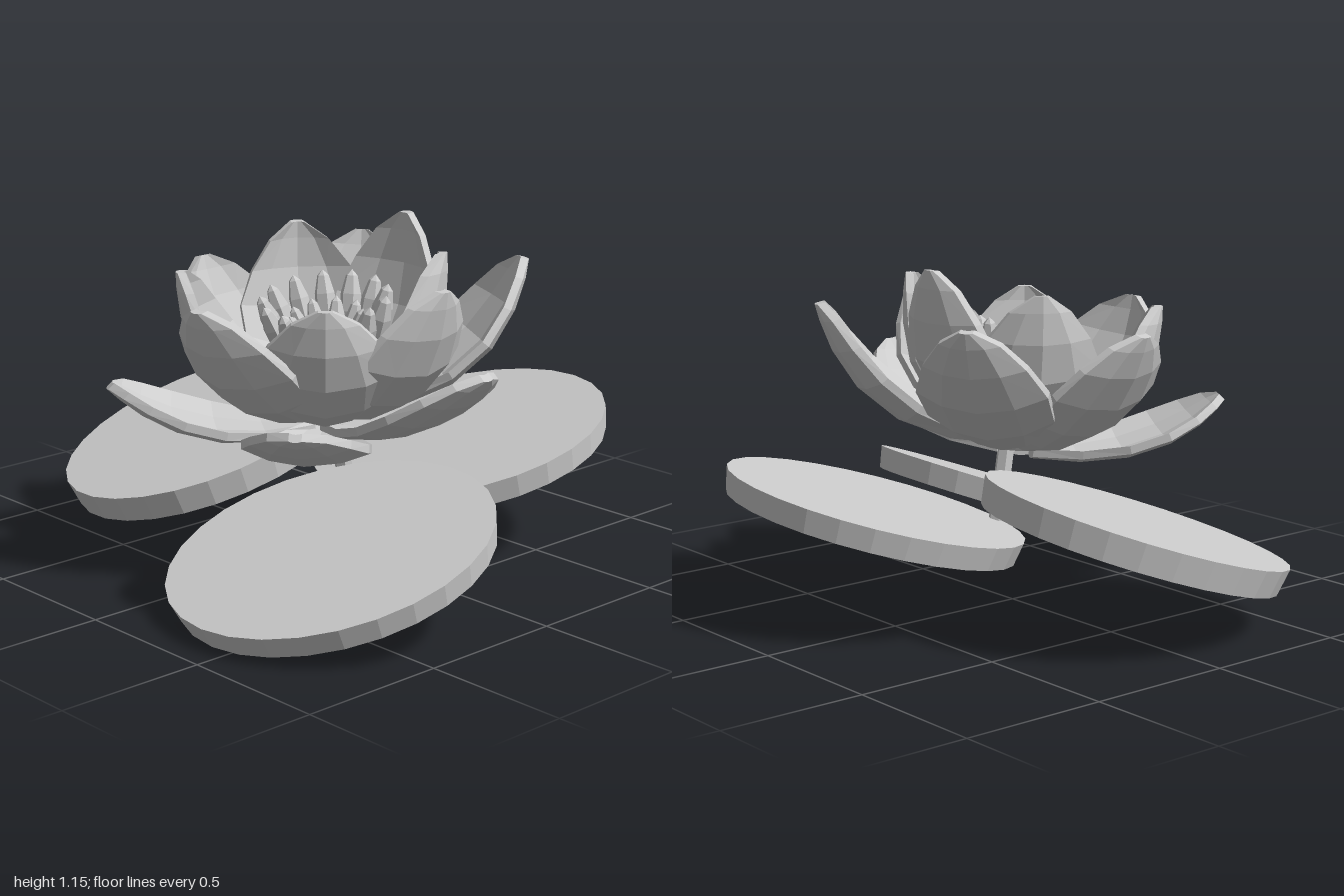
import * as THREE from 'three';

const UP = new THREE.Vector3(0, 1, 0);
const CENTRE = new THREE.Vector3(0.1, 0, 0.11);
const V2 = (x, y) => new THREE.Vector2(x, y);

// Closed, cupped shell running from the flower's heart to a tip point
function petalGeometry(tip, baseY, ctrlK, ctrlY, halfWidth, cup) {
  const radial = new THREE.Vector3(tip.x - CENTRE.x, 0, tip.z - CENTRE.z);
  const reach = radial.length();
  radial.normalize();
  const side = new THREE.Vector3(-radial.z, 0, radial.x);
  const at = (r, y) => CENTRE.clone().addScaledVector(radial, r).setY(y);
  const spine = new THREE.QuadraticBezierCurve3(at(0.04, baseY), at(reach * ctrlK, ctrlY), tip);
  const us = [0, 0.2, 0.42, 0.64, 0.82, 0.94, 1];
  const widths = [0.3, 0.68, 0.97, 1, 0.78, 0.46, 0.1];
  const vs = [-1, -0.55, 0, 0.55, 1];
  const rows = us.length, cols = vs.length, pos = [], index = [];
  for (const layer of [1, -1]) {
    us.forEach((u, i) => {
      const p = spine.getPoint(u), n = side.clone().cross(spine.getTangent(u));
      const w = widths[i] * halfWidth;
      for (const v of vs) {
        const q = p.clone().addScaledVector(side, w * v)
          .addScaledVector(n, cup * w * v * v + layer * 0.014);
        pos.push(q.x, q.y, q.z);
      }
    });
  }
  const id = (l, i, j) => l * rows * cols + i * cols + j;
  const quad = (a, b, c, d) => index.push(a, b, c, a, c, d);
  for (let i = 0; i < rows - 1; i++) {
    for (let j = 0; j < cols - 1; j++) {
      quad(id(0, i, j), id(0, i, j + 1), id(0, i + 1, j + 1), id(0, i + 1, j));
      quad(id(1, i, j), id(1, i + 1, j), id(1, i + 1, j + 1), id(1, i, j + 1));
    }
    // side rims
    quad(id(0, i, 0), id(0, i + 1, 0), id(1, i + 1, 0), id(1, i, 0));
    const e = cols - 1;
    quad(id(0, i, e), id(1, i, e), id(1, i + 1, e), id(0, i + 1, e));
  }
  // end rims
  for (let j = 0; j < cols - 1; j++) {
    const t = rows - 1;
    quad(id(0, 0, j), id(1, 0, j), id(1, 0, j + 1), id(0, 0, j + 1));
    quad(id(0, t, j), id(0, t, j + 1), id(1, t, j + 1), id(1, t, j));
  }
  const g = new THREE.BufferGeometry();
  g.setAttribute('position', new THREE.Float32BufferAttribute(pos, 3));
  g.setIndex(index);
  g.computeVertexNormals();
  return g;
}

export function createModel() {
  const model = new THREE.Group();
  model.name = 'waterLily';
  const grey = new THREE.MeshStandardMaterial({ color: 0xcccccc, flatShading: true });
  grey.name = 'plainGrey';

  const add = (parent, name, geometry) => {
    const mesh = new THREE.Mesh(geometry, grey);
    mesh.name = name;
    parent.add(mesh);
    return mesh;
  };

  // Floating leaves: [name, x, top y, z, slope in x, slope in z, radius x, radius z, thickness, yaw]
  const leaves = [
    ['frontLeaf', 0.483, 0.235, 0.447, 0.03, -0.36, 0.54, 0.48, 0.078, 0.6],
    ['rightLeaf', -0.51, 0.355, 0.108, 0.12, -0.31, 0.495, 0.54, 0.095, 0],
    ['backLeaf', 0.19, 0.37, -0.43, 0.1, -0.25, 0.527, 0.5, 0.08, 0],
  ];
  const leafShape = new THREE.LatheGeometry(
    [V2(0, -1.2), V2(0.97, -1), V2(1, 0), V2(0, 0)], 28);
  for (const [name, x, y, z, sx, sz, rx, rz, thick, yaw] of leaves) {
    const leaf = add(model, name, leafShape);
    leaf.position.set(x, y, z);
    leaf.scale.set(rx, thick, rz);
    leaf.quaternion.setFromUnitVectors(UP, new THREE.Vector3(-sx, 1, -sz).normalize());
    leaf.rotateY(yaw);
  }

  // Stem, leaning forward towards the flower
  const low = new THREE.Vector3(0.12, 0.09, 0.005), high = new THREE.Vector3(0.12, 0.52, 0.075);
  const stem = add(model, 'stem', new THREE.CylinderGeometry(0.03, 0.03, low.distanceTo(high), 6));
  stem.position.copy(low).lerp(high, 0.5);
  stem.quaternion.setFromUnitVectors(UP, high.clone().sub(low).normalize());

  // Petals: [tip x, y, z, base y, control reach, control y, half width, cup]
  const petalRings = {
    innerPetal: [
      [0.09, 1.14, -0.275, 0.55, 1.1, 0.62, 0.22, 0.35],
      [-0.27, 1.08, -0.1, 0.54, 1.08, 0.6, 0.22, 0.4],
      [0.43, 1.08, -0.1, 0.53, 1.08, 0.6, 0.22, 0.4],
      [-0.24, 0.99, 0.44, 0.53, 1.0, 0.54, 0.23, 0.4],
      [0.46, 0.98, 0.44, 0.52, 1.0, 0.54, 0.23, 0.4],
      [0.13, 0.96, 0.675, 0.52, 0.87, 0.53, 0.245, 0.4],
    ],
    outerPetal: [
      [0.635, 1.02, 0.1, 0.52, 0.93, 0.56, 0.22, 0.4],
      [-0.505, 0.955, 0.13, 0.5, 0.8, 0.54, 0.22, 0.35],
      [0.44, 1.01, -0.475, 0.52, 0.83, 0.54, 0.22, 0.35],
      [-0.29, 1.0, -0.43, 0.52, 0.83, 0.54, 0.22, 0.35],
    ],
    lowerPetal: [
      [0.805, 0.775, 0.085, 0.48, 0.65, 0.47, 0.21, 0.22],
      [0.575, 0.65, 0.67, 0.47, 0.65, 0.4, 0.2, 0.24],
      [-0.27, 0.65, 0.715, 0.47, 0.65, 0.4, 0.195, 0.24],
    ],
  };
  for (const [name, list] of Object.entries(petalRings)) {
    for (const [x, y, z, ...shape] of list) {
      add(model, name, petalGeometry(new THREE.Vector3(x, y, z), ...shape));
    }
  }

  // Flower heart, tilted forward, with two rings of club-tipped stamens
  const heart = new THREE.Group();
  heart.name = 'flowerHeart';
  heart.position.set(0.1, 0.51, 0.06);
  heart.rotation.set(0.17, 0, -0.05);
  model.add(heart);
  add(heart, 'receptacle', new THREE.CylinderGeometry(0.13, 0.07, 0.07, 10)).position.y = 0.02;
  const stamenShape = new THREE.LatheGeometry([V2(0, 0), V2(0.014, 0), V2(0.014, 0.2),
    V2(0.035, 0.28), V2(0.035, 0.34), V2(0.02, 0.4), V2(0, 0.42)], 6);
  for (const [name, count, baseR, lean, size] of [
    ['outerStamen', 13, 0.08, 0.32, 1], ['innerStamen', 9, 0.01, 0.32, 0.85]]) {
    for (let i = 0; i < count; i++) {
      const a = (i / count) * Math.PI * 2, c = Math.cos(a), s = Math.sin(a);
      const stamen = add(heart, name, stamenShape);
      stamen.position.set(c * baseR, 0.03, s * baseR);
      stamen.scale.setScalar(size);
      stamen.quaternion.setFromUnitVectors(UP,
        new THREE.Vector3(c * Math.sin(lean), Math.cos(lean), s * Math.sin(lean)));
    }
  }
  return model;
}
